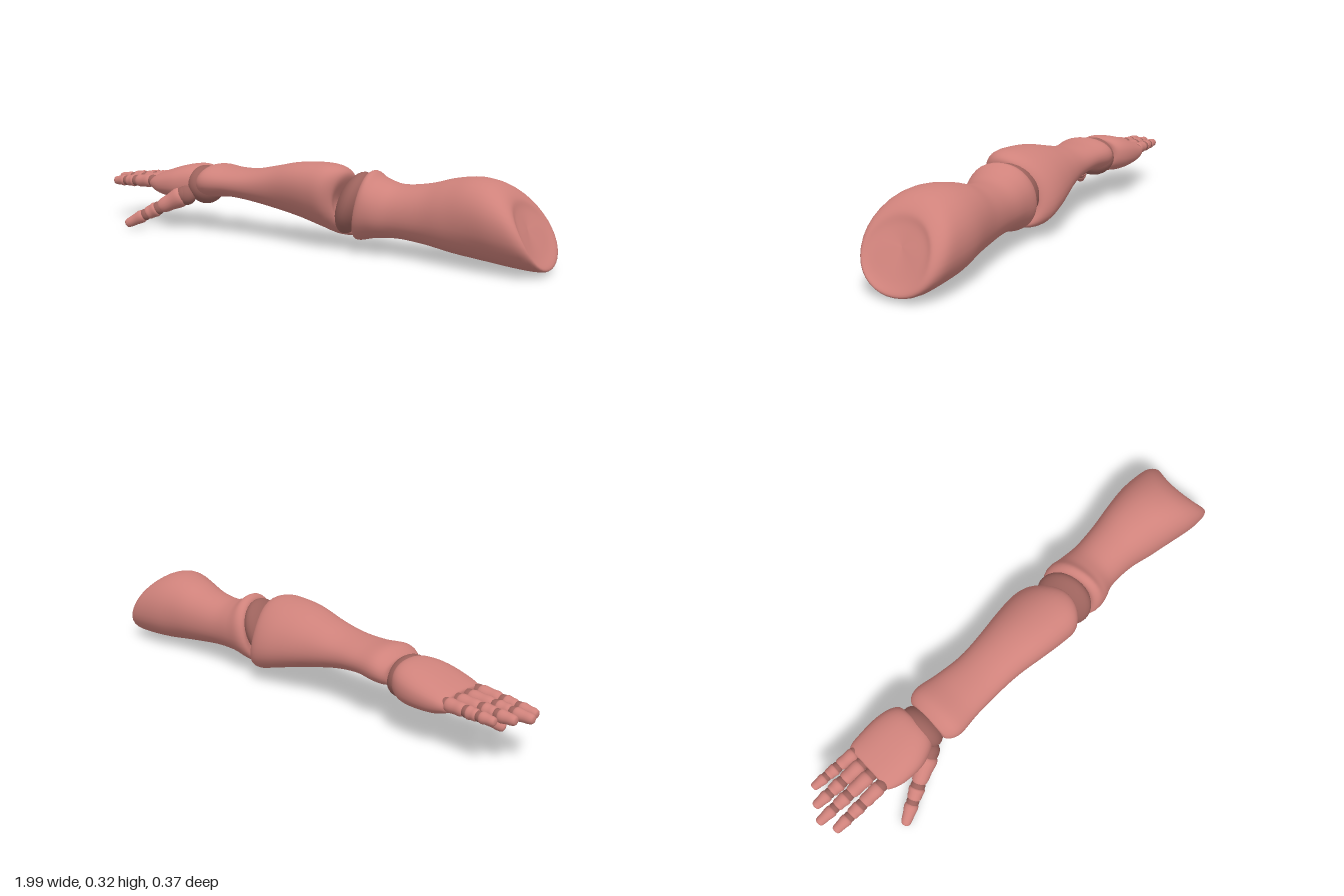
import * as THREE from 'three';

const skin = new THREE.MeshStandardMaterial({ color: 0xcf827b });
const jointSkin = new THREE.MeshStandardMaterial({ color: 0x9c625c });

// Smooth body lofted along +x from rows of
// [x, top, bottom, back, front, leanY, leanZ, skew, bulge]:
// lean tips a section in x by height or depth, skew moves its top forward,
// bulge pushes its front and back sides along x.
function loft(name, rows, power = 2.1, steps = 5, sides = 36) {
  const spline = (pick) => new THREE.CatmullRomCurve3(
    rows.map((row) => new THREE.Vector3(...pick(...row))), false, 'catmullrom', 0.5);
  const centres = spline((x, t, b, k, f) => [x, (t + b) / 2, (k + f) / 2]);
  const sizes = spline((x, t, b, k, f, leanY = 0) => [(t - b) / 2, (f - k) / 2, leanY]);
  const warps = spline((x, t, b, k, f, leanY, leanZ = 0, skew = 0, bulge = 0) => [leanZ, skew, bulge]);
  const rings = (rows.length - 1) * steps;
  const round = (v) => Math.sign(v) * Math.abs(v) ** (2 / power);
  const positions = [], index = [];
  for (let i = 0; i <= rings; i++) {
    const c = centres.getPoint(i / rings), s = sizes.getPoint(i / rings), w = warps.getPoint(i / rings);
    for (let j = 0; j < sides; j++) {
      const a = (j / sides) * Math.PI * 2;
      const dy = Math.max(s.x, 0) * round(Math.cos(a));
      const dz = Math.max(s.y, 0) * round(Math.sin(a)) + w.y * dy;
      positions.push(c.x + s.z * dy + w.x * dz + w.z * Math.sin(a) ** 2, c.y + dy, c.z + dz);
      if (i < rings) {
        const p = i * sides + j, q = i * sides + (j + 1) % sides;
        index.push(p, q, p + sides, q, q + sides, p + sides);
      }
    }
  }
  const geo = new THREE.BufferGeometry();
  geo.setAttribute('position', new THREE.Float32BufferAttribute(positions, 3));
  geo.setIndex(index);
  geo.computeVertexNormals();
  const mesh = new THREE.Mesh(geo, skin);
  mesh.name = name;
  return mesh;
}

// Ellipsoid joint
function joint(name, centre, radii, tilt = 0, turn = 0) {
  const mesh = new THREE.Mesh(new THREE.SphereGeometry(1, 28, 18), jointSkin);
  mesh.name = name;
  mesh.position.copy(centre);
  mesh.scale.set(...radii);
  mesh.rotation.set(0, turn, tilt);
  return mesh;
}

// Rounded finger bone between two points
function bone(name, from, to, r0, r1) {
  const length = from.distanceTo(to);
  const outline = new THREE.SplineCurve([
    [0, 0], [r0 * 0.75, 0.01], [r0, 0.16], [(r0 + r1) * 0.48, 0.5],
    [r1, 0.8], [r1 * 0.7, 0.96], [0, 1],
  ].map(([r, t]) => new THREE.Vector2(r, t * length)));
  const pts = outline.getPoints(24).map((p) => new THREE.Vector2(Math.max(p.x, 0), p.y));
  const mesh = new THREE.Mesh(new THREE.LatheGeometry(pts, 18), skin);
  mesh.name = name;
  mesh.position.copy(from);
  mesh.quaternion.setFromUnitVectors(new THREE.Vector3(0, 1, 0), to.clone().sub(from).normalize());
  return mesh;
}

// Chain of bones with a ball joint before each; spans are fractions of the length
function digit(name, from, to, spans, radii) {
  const group = new THREE.Group();
  group.name = name;
  const at = (t) => from.clone().lerp(to, t);
  spans.forEach(([a, b], i) => {
    group.add(bone(name + 'Bone', at(a), at(b), radii[i], radii[i + 1]));
    const r = radii[i] * 0.9;
    group.add(joint(name + 'Joint', at(i ? (a + spans[i - 1][1]) / 2 : a - 0.02), [r, r, r]));
  });
  return group;
}

export function createModel() {
  const model = new THREE.Group();
  model.name = 'arm';
  const V = (x, y, z) => new THREE.Vector3(x, y, z);

  // Upper arm with a slanted, slightly dented shoulder end
  model.add(loft('upperArm', [
    [0.30, 0.18, 0.18, -0.02, -0.02, 0.2, 0.25],
    [0.29, 0.24, 0.10, -0.08, 0.05, 0.2, 0.25],
    [0.28, 0.285, 0.05, -0.12, 0.09, 0.2, 0.25],
    [0.305, 0.30, 0.04, -0.14, 0.105, 0.2, 0.2],
    [0.36, 0.275, 0.055, -0.137, 0.10, 0.1, 0.1],
    [0.44, 0.257, 0.06, -0.135, 0.075],
    [0.55, 0.27, 0.05, -0.147, 0.075],
    [0.65, 0.295, 0.035, -0.165, 0.095, -0.05],
    [0.75, 0.308, 0.022, -0.182, 0.115, -0.15, 0, 0.08],
    [0.84, 0.302, 0.013, -0.185, 0.128, -0.3, 0, 0.1],
    [0.905, 0.282, 0.01, -0.178, 0.125, -0.45, 0, 0.1, 0.01],
    [0.936, 0.25, 0.02, -0.15, 0.105, -0.5, 0, 0.1, 0.015],
    [0.93, 0.21, 0.06, -0.11, 0.075, -0.5, 0, 0, 0.01],
    [0.918, 0.15, 0.15, -0.02, -0.02, -0.5],
  ]));

  // Elbow
  model.add(joint('elbow', V(0.248, 0.175, -0.01), [0.056, 0.122, 0.115], -0.36, 0.25));

  // Forearm, scalloped at the elbow
  model.add(loft('forearm', [
    [-0.45, 0.20, 0.20, -0.01, -0.01],
    [-0.465, 0.235, 0.165, -0.08, 0.06],
    [-0.455, 0.255, 0.145, -0.115, 0.09],
    [-0.41, 0.275, 0.14, -0.13, 0.11],
    [-0.32, 0.267, 0.147, -0.117, 0.10],
    [-0.21, 0.27, 0.136, -0.11, 0.095, 0, 0, 0.1],
    [-0.10, 0.29, 0.115, -0.122, 0.097, 0, 0, 0.2],
    [0.01, 0.312, 0.09, -0.14, 0.11, 0, 0, 0.3],
    [0.11, 0.32, 0.062, -0.152, 0.118, 0, 0, 0.33, -0.005],
    [0.19, 0.316, 0.043, -0.145, 0.115, 0.02, 0, 0.33, -0.02],
    [0.235, 0.29, 0.055, -0.115, 0.085, 0, 0, 0.3, -0.03],
    [0.215, 0.24, 0.11, -0.07, 0.05, 0.1, 0, 0.2, -0.02],
    [0.19, 0.18, 0.18, -0.01, -0.01, 0.1],
  ]));

  // Wrist
  model.add(joint('wrist', V(-0.492, 0.182, -0.015), [0.06, 0.08, 0.092], 0.25));

  // Palm
  model.add(loft('palm', [
    [-0.735, 0.178, 0.178, -0.04, -0.04],
    [-0.74, 0.20, 0.15, -0.12, 0.055],
    [-0.73, 0.214, 0.138, -0.145, 0.075],
    [-0.68, 0.233, 0.12, -0.154, 0.092],
    [-0.60, 0.256, 0.112, -0.156, 0.095],
    [-0.54, 0.265, 0.116, -0.145, 0.078],
    [-0.505, 0.257, 0.135, -0.12, 0.055],
    [-0.505, 0.235, 0.16, -0.08, 0.03],
    [-0.52, 0.19, 0.19, -0.02, -0.02],
  ], 2.3));

  // Four fingers: base x, tip x, base z, tip z, tip height
  const spans = [[0, 0.4], [0.44, 0.66], [0.7, 1]];
  [
    ['indexFinger', -0.75, -0.975, 0.043, 0.047, 0.167],
    ['middleFinger', -0.752, -1.0, -0.014, -0.014, 0.177],
    ['ringFinger', -0.747, -0.97, -0.066, -0.067, 0.18],
    ['littleFinger', -0.735, -0.93, -0.115, -0.123, 0.182],
  ].forEach(([name, x0, x1, z0, z1, y], i) => {
    const k = i === 3 ? 0.9 : 1;
    model.add(digit(name, V(x0, 0.182, z0), V(x1, y, z1), spans,
      [0.028, 0.026, 0.023, 0.018].map((r) => r * k)));
  });

  // Thumb, hanging forward and down
  model.add(joint('thumbBase', V(-0.535, 0.142, 0.062), [0.044, 0.042, 0.038]));
  model.add(digit('thumb', V(-0.545, 0.14, 0.068), V(-0.776, 0.01, 0.176),
    [[0, 0.42], [0.45, 0.64], [0.68, 1]], [0.042, 0.031, 0.027, 0.02]));

  return model;
}
